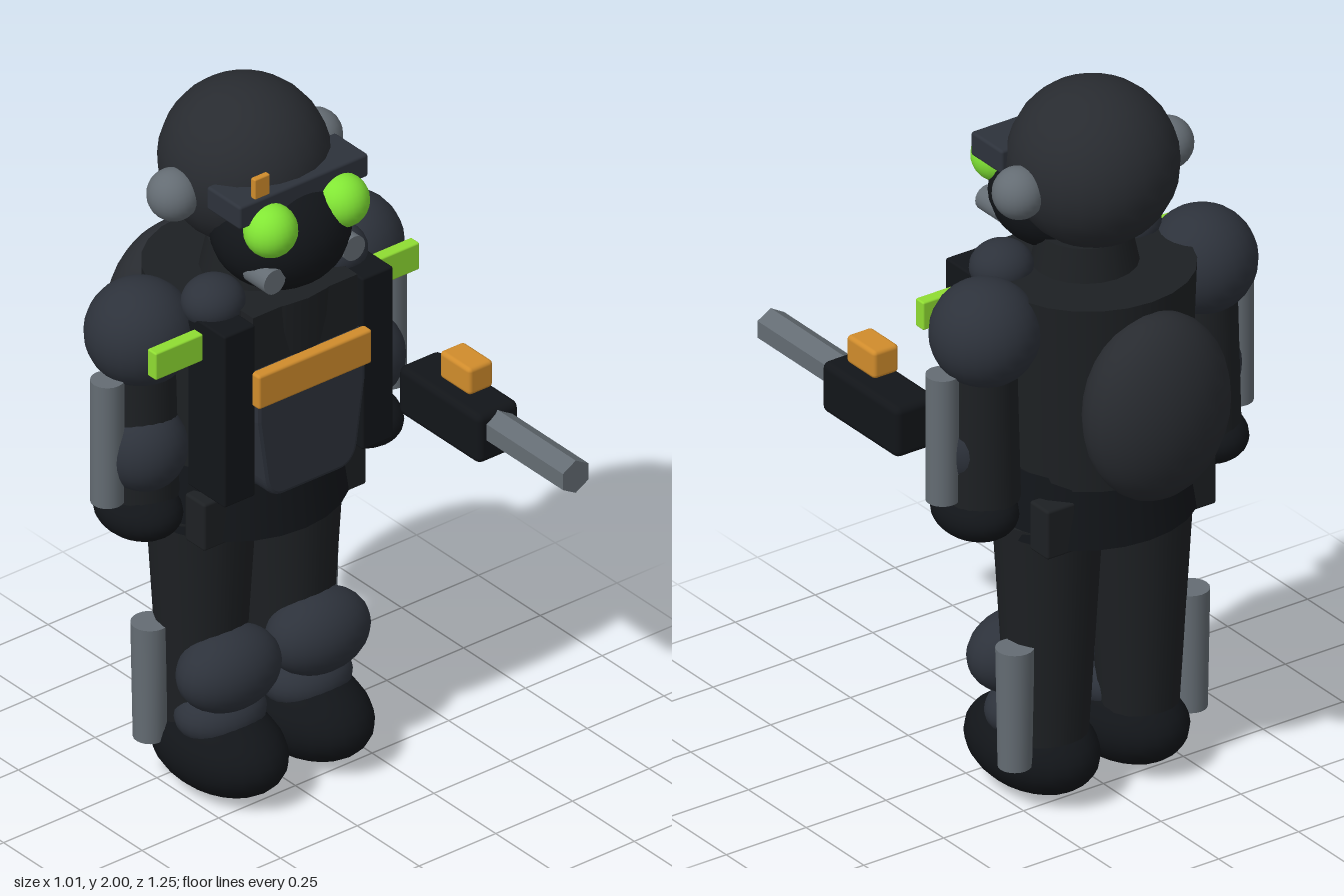
import * as THREE from 'three';
import { RoundedBoxGeometry } from 'three/addons/geometries/RoundedBoxGeometry.js';

const mat = (color) => new THREE.MeshStandardMaterial({ color });
const CLOTH = mat(0x1d2023), HELMET = mat(0x282b30), PAD = mat(0x2d323b), BLACK = mat(0x121519);
const STEEL = mat(0x646c73), GREEN = mat(0x82e635), LIME = mat(0x8fdc32), ORANGE = mat(0xd08c2c);

export function createModel() {
  const model = new THREE.Group();
  model.name = 'armouredTrooper';

  const add = (name, geometry, material, x, y, z) => {
    const mesh = new THREE.Mesh(geometry, material);
    mesh.name = name;
    mesh.position.set(x, y, z);
    model.add(mesh);
    return mesh;
  };
  const ball = (name, material, x, y, z, rx, ry = rx, rz = rx) =>
    add(name, new THREE.SphereGeometry(1, 24, 16).scale(rx, ry, rz), material, x, y, z);
  const tube = (name, material, x, y, z, top, bottom, height, sides = 20) =>
    add(name, new THREE.CylinderGeometry(top, bottom, height, sides), material, x, y, z);
  const box = (name, material, x, y, z, w, h, d, r = 0.008) =>
    add(name, new RoundedBoxGeometry(w, h, d, 2, r), material, x, y, z);

  // Head, mask and brow
  ball('helmet', HELMET, 0, 1.777, -0.205, 0.222, 0.223, 0.226);
  ball('mask', BLACK, 0, 1.645, -0.06, 0.187, 0.16, 0.176);
  box('brow', PAD, 0, 1.788, -0.032, 0.42, 0.068, 0.136);
  box('browLight', ORANGE, -0.13, 1.85, 0.02, 0.05, 0.06, 0.018, 0.004);

  // Torso, skirt and backpack
  tube('torso', CLOTH, 0, 1.215, -0.205, 0.27, 0.25, 0.53, 24).scale.z = 0.95;
  tube('neck', CLOTH, 0, 1.5, -0.17, 0.12, 0.15, 0.14);
  tube('skirt', BLACK, 0, 0.885, -0.205, 0.255, 0.28, 0.19, 24).scale.z = 0.88;
  ball('backpack', HELMET, 0, 1.19, -0.48, 0.21, 0.26, 0.145);

  // Chest plate, narrowing to a rounded lower edge
  const plate = new THREE.Shape();
  plate.moveTo(-0.165, 1.31);
  plate.lineTo(-0.165, 1.18);
  plate.lineTo(-0.14, 1.0);
  plate.quadraticCurveTo(-0.13, 0.95, -0.09, 0.95);
  plate.lineTo(0.09, 0.95);
  plate.quadraticCurveTo(0.13, 0.95, 0.14, 1.0);
  plate.lineTo(0.165, 1.18);
  plate.lineTo(0.165, 1.31);
  add('chestPlate', new THREE.ExtrudeGeometry(plate, {
    depth: 0.1, bevelEnabled: true, bevelSize: 0.012, bevelThickness: 0.012, bevelSegments: 2,
  }), PAD, 0, 0, -0.045);
  add('upperChest', new THREE.BoxGeometry(0.34, 0.2, 0.1), CLOTH, 0, 1.38, -0.01);
  box('chestBand', ORANGE, 0, 1.28, 0.065, 0.37, 0.1, 0.035);

  for (const s of [-1, 1]) {
    // Head fittings
    ball('earPiece', STEEL, s * 0.233, 1.757, -0.205, 0.068, 0.07, 0.07);
    ball('goggle', GREEN, s * 0.117, 1.725, 0.045, 0.071, 0.072, 0.07);
    tube('filter', STEEL, s * 0.13, 1.59, 0.035, 0.035, 0.035, 0.085).rotation.x = Math.PI / 2;

    // Straps, collar and belt pouches
    ball('collarPad', PAD, s * 0.2, 1.485, -0.085, 0.085, 0.07, 0.08);
    box('strap', BLACK, s * 0.225, 1.215, -0.02, 0.1, 0.51, 0.15, 0.006);
    for (const z of [-0.08, -0.335]) box('pouch', CLOTH, s * 0.22, 0.85, z, 0.09, 0.14, 0.08);

    // Arm
    ball('shoulder', PAD, s * 0.34, 1.39, -0.207, 0.144);
    tube('sleeve', CLOTH, s * 0.345, 1.12, -0.2, 0.09, 0.1, 0.4);
    ball('forearmPad', PAD, s * 0.355, 1.07, -0.17, 0.113, 0.12, 0.11);
    ball('glove', BLACK, s * 0.36, 0.882, -0.19, 0.105, 0.075, 0.13);
    tube('armGuard', STEEL, s * 0.46, 1.12, -0.19, 0.044, 0.044, 0.36);
    box('armBand', LIME, s * 0.353, 1.4, -0.048, 0.155, 0.08, 0.035, 0.005);

    // Leg
    tube('trouser', CLOTH, s * 0.142, 0.5, -0.205, 0.143, 0.105, 0.64);
    ball('kneePad', PAD, s * 0.145, 0.367, -0.09, 0.15, 0.113, 0.11);
    ball('anklePad', PAD, s * 0.14, 0.22, -0.13, 0.127, 0.08, 0.105);
    ball('boot', BLACK, s * 0.14, 0.12, -0.135, 0.148, 0.118, 0.217);
    tube('shinGuard', STEEL, s * 0.275, 0.31, -0.247, 0.05, 0.044, 0.34);
  }

  // Carried tool on the left side
  box('toolBody', BLACK, 0.406, 1.048, 0.156, 0.135, 0.145, 0.33, 0.02);
  const barrel = add('toolBarrel', new THREE.CylinderGeometry(0.048, 0.048, 0.34, 6).toNonIndexed(),
    STEEL, 0.406, 1.068, 0.46);
  barrel.geometry.computeVertexNormals();
  barrel.rotation.x = Math.PI / 2;
  box('toolSight', ORANGE, 0.406, 1.178, 0.188, 0.08, 0.08, 0.123, 0.012);

  return model;
}
